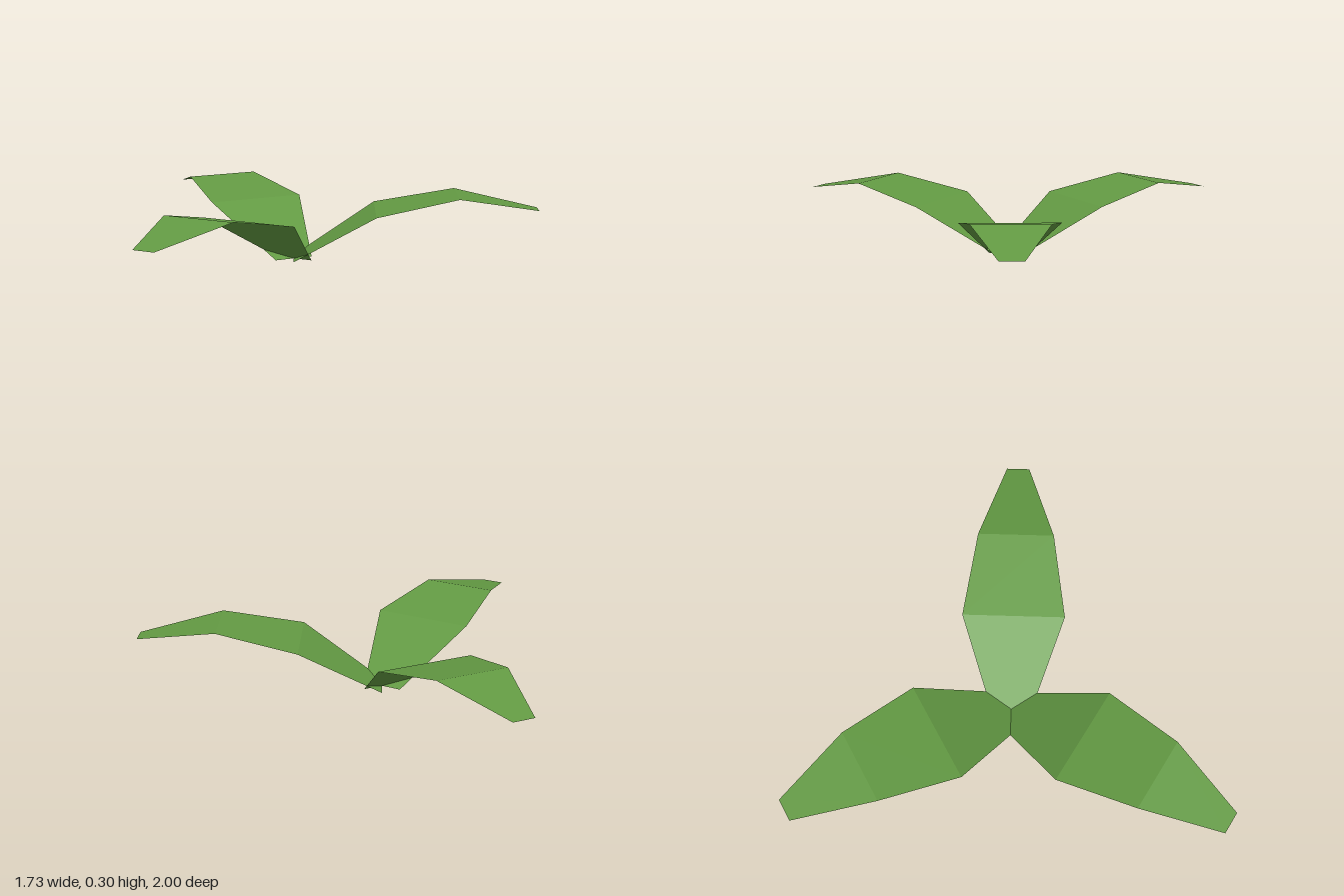
import * as THREE from 'three';

// Cross-sections along a leaf: distance from the centre, height, half width
const SECTIONS = [
  [0, 0, 0.094],
  [0.375, 0.228, 0.235],
  [0.75, 0.3, 0.175],
  [1.125, 0.228, 0.053],
];

// One folded sheet growing along +x
function leafGeometry() {
  const plane = new THREE.PlaneGeometry(1, 1, 1, SECTIONS.length - 1);
  const pos = plane.attributes.position;
  for (let i = 0; i < pos.count; i++) {
    const [reach, height, half] = SECTIONS[Math.floor(i / 2)];
    pos.setXYZ(i, reach, height, i % 2 ? -half : half);
  }
  const geometry = plane.toNonIndexed();
  geometry.computeVertexNormals();
  return geometry;
}

export function createModel() {
  const model = new THREE.Group();
  model.name = 'leafCluster';

  const leafGreen = new THREE.MeshStandardMaterial({ color: 0x639a43 });
  leafGreen.name = 'leafGreen';
  leafGreen.side = THREE.DoubleSide;
  leafGreen.flatShading = true;

  // Three leaves fanned evenly around the off-centre root
  const geometry = leafGeometry();
  ['leftLeaf', 'backLeaf', 'frontLeaf'].forEach((name, i) => {
    const leaf = new THREE.Mesh(geometry, leafGreen);
    leaf.name = name;
    leaf.position.x = -0.26;
    leaf.rotation.y = (i * Math.PI * 2) / 3;
    model.add(leaf);
  });
  return model;
}
